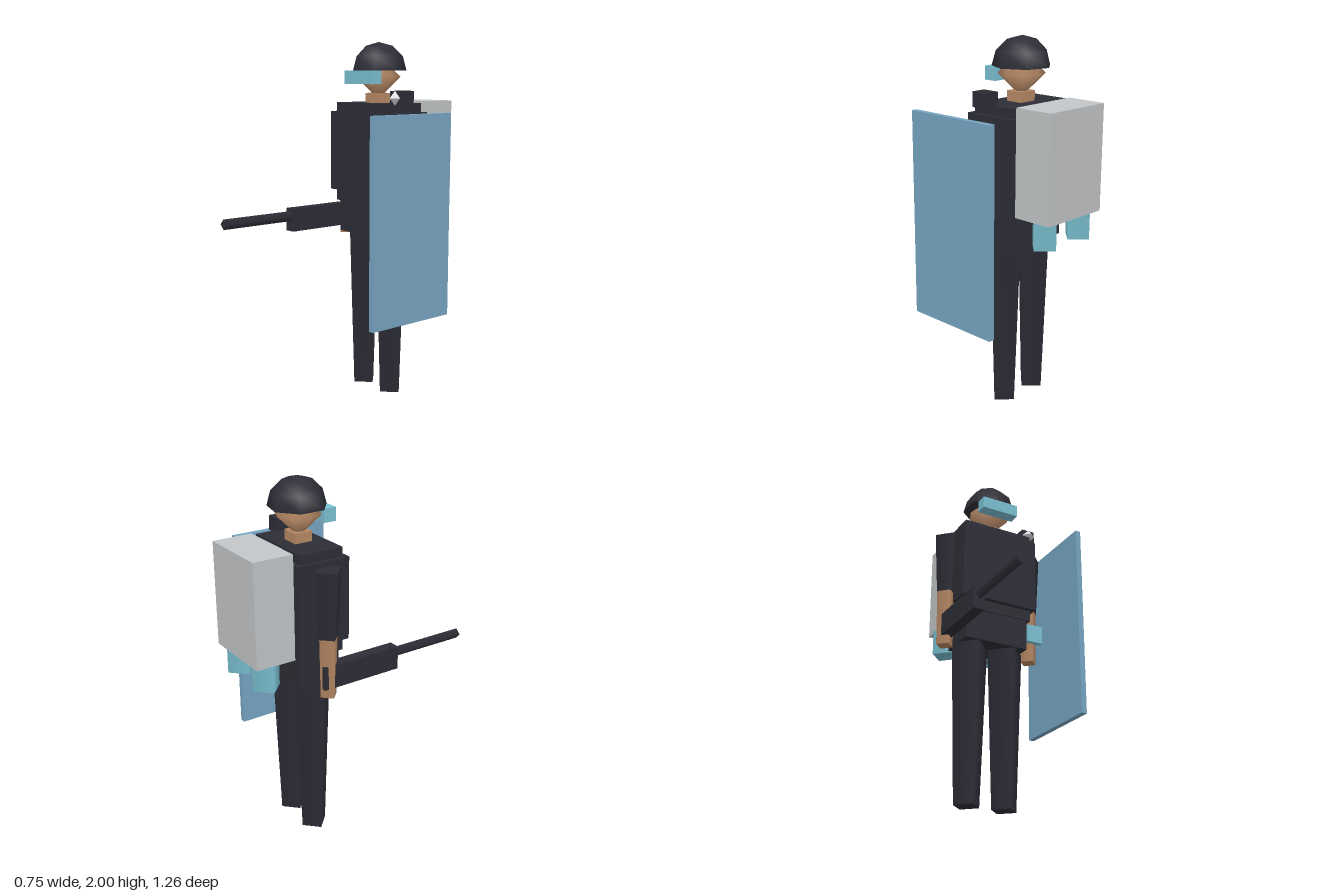
import * as THREE from 'three';

const paint = (name, color) => {
  const m = new THREE.MeshStandardMaterial({ color });
  m.name = name;
  return m;
};

export function createModel() {
  const model = new THREE.Group();
  const dark = paint('dark uniform', 0x2d2e37);
  const skin = paint('skin', 0xb98a66);
  const cyan = paint('cyan glass', 0x7cc2d4);
  const blue = paint('shield blue', 0x78a7c5);
  const grey = paint('pack grey', 0xc4c7c9);
  const lampWhite = paint('lamp white', 0xd6d8da);

  const add = (name, geometry, material, x = 0, y = 0, z = 0) => {
    const mesh = new THREE.Mesh(geometry, material);
    mesh.name = name;
    mesh.position.set(x, y, z);
    model.add(mesh);
    return mesh;
  };
  // Box given by its limits on each axis
  const box = (name, material, [x0, x1], [y0, y1], [z0, z1]) =>
    add(name, new THREE.BoxGeometry(x1 - x0, y1 - y0, z1 - z0), material,
      (x0 + x1) / 2, (y0 + y1) / 2, (z0 + z1) / 2);
  // Upright four-sided limb with its corners on the axes
  const limb = (name, material, x, z, yTop, yBottom, rTop, rBottom) =>
    add(name, new THREE.CylinderGeometry(rTop, rBottom, yTop - yBottom, 4), material,
      x, (yTop + yBottom) / 2, z);

  const cx = -0.03, cz = -0.247;

  // Torso
  box('torso', dark, [-0.245, 0.185], [1.1, 1.665], [-0.373, -0.122]);
  box('vest', dark, [-0.265, 0.207], [1.165, 1.615], [-0.4, -0.095]);
  box('pelvis', dark, [-0.222, 0.165], [0.92, 1.1], [-0.365, -0.13]);

  // Head, goggles and helmet
  box('neck', skin, [-0.08, 0.025], [1.65, 1.72], [-0.297, -0.197]);
  add('head', new THREE.SphereGeometry(0.125, 8, 2), skin, cx, 1.81, cz);
  box('goggles', cyan, [-0.145, 0.083], [1.77, 1.843], [-0.166, -0.094]);
  add('helmet', new THREE.SphereGeometry(0.157, 7, 3, Math.PI, Math.PI * 2, 0, Math.PI / 2),
    dark, cx, 1.845, -0.25);
  const rim = add('helmetUnderside', new THREE.CircleGeometry(0.157, 7), dark, cx, 1.845, -0.25);
  rim.rotation.x = Math.PI / 2;

  // Limbs and pack canisters, one of each per side
  for (const [side, s] of [['right', -1], ['left', 1]]) {
    const armX = cx + s * 0.271;
    limb(side + 'Leg', dark, cx + s * 0.113, cz, 0.93, 0, 0.112, 0.077);
    limb(side + 'UpperArm', dark, armX, cz, 1.585, 1.22, 0.08, 0.058);
    limb(side + 'Forearm', skin, armX, cz, 1.22, 0.89, 0.056, 0.05);
    limb(side + 'Canister', cyan, cx + s * 0.133, -0.54, 1.11, 0.96, 0.08, 0.08);
  }

  // Backpack
  box('backpack', grey, [-0.232, 0.178], [1.106, 1.675], [-0.63, -0.405]);

  // Shoulder lamp
  box('lampHousing', dark, [0.158, 0.24], [1.655, 1.735], [-0.262, -0.162]);
  add('lampLens', new THREE.OctahedronGeometry(0.04), lampWhite, 0.199, 1.696, -0.16);

  // Wrist screen and shield on the left arm
  box('wristScreen', cyan, [0.2, 0.297], [1.0, 1.107], [-0.206, -0.175]);
  box('shield', blue, [0.342, 0.374], [0.482, 1.616], [-0.416, 0.152]);

  // Weapon in the right hand
  box('weaponBody', dark, [-0.333, -0.268], [0.94, 1.07], [-0.29, 0.183]);
  const barrel = add('barrel', new THREE.CylinderGeometry(0.029, 0.029, 0.46, 4), dark,
    -0.298, 1.026, 0.4);
  barrel.rotation.x = Math.PI / 2;

  return model;
}
